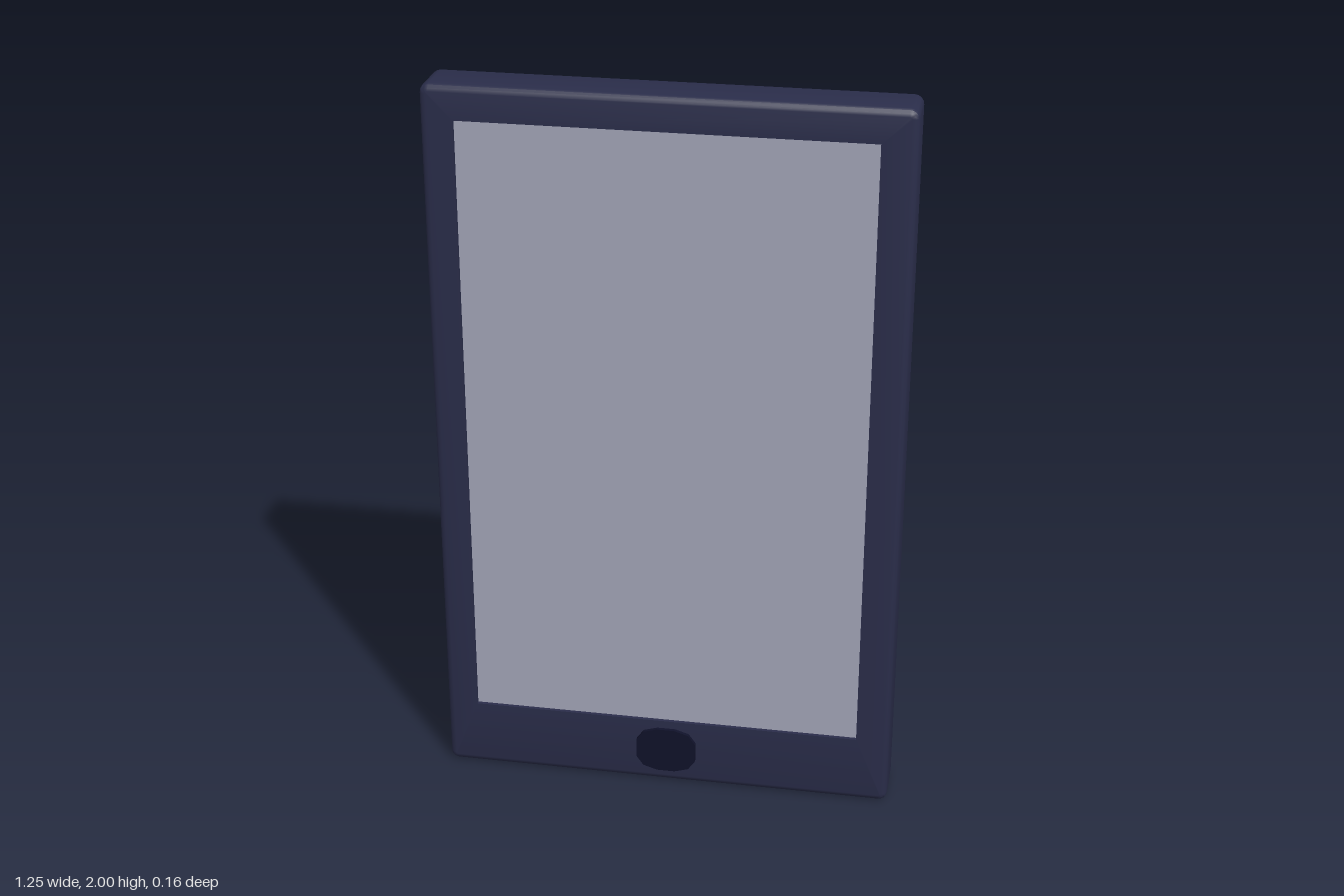
import * as THREE from 'three';
import { toCreasedNormals } from 'three/addons/utils/BufferGeometryUtils.js';

const CORNER_STEPS = 4;

// Counter-clockwise rounded rectangle; every ring has the same point count.
function ring(left, right, bottom, top, radius, z) {
  const corners = [
    [right - radius, top - radius], [left + radius, top - radius],
    [left + radius, bottom + radius], [right - radius, bottom + radius],
  ];
  const points = [];
  corners.forEach(([cx, cy], i) => {
    for (let s = 0; s <= CORNER_STEPS; s++) {
      const a = (i + s / CORNER_STEPS) * Math.PI / 2;
      points.push([cx + radius * Math.cos(a), cy + radius * Math.sin(a), z]);
    }
  });
  return points;
}

// Joins consecutive rings with quads and closes the first ring with a fan.
function loft(rings) {
  const n = rings[0].length;
  const index = [];
  for (let r = 0; r < rings.length - 1; r++) {
    for (let i = 0; i < n; i++) {
      const a = r * n + i, b = r * n + (i + 1) % n;
      index.push(a, b, b + n, a, b + n, a + n);
    }
  }
  for (let i = 1; i < n - 1; i++) index.push(0, i + 1, i);
  const geometry = new THREE.BufferGeometry();
  geometry.setAttribute('position', new THREE.Float32BufferAttribute(rings.flat(2), 3));
  geometry.setIndex(index);
  return toCreasedNormals(geometry, 0.6);
}

function addMesh(group, name, geometry, color) {
  const mesh = new THREE.Mesh(geometry, new THREE.MeshStandardMaterial({ color }));
  mesh.name = name;
  group.add(mesh);
  return mesh;
}

export function createModel() {
  const group = new THREE.Group();
  group.name = 'tablet';

  const back = -0.08, front = 0.07, screenZ = 0.06, bevel = 0.018;
  const hole = { left: -0.54, right: 0.535, bottom: 0.195, top: 1.91 };

  // Casing: rounded edges all round and a shallow recess for the screen
  const outer = (inset, z) => ring(-0.626 + inset, 0.626 - inset, inset, 2 - inset, 0.024 - inset, z);
  const inner = (z) => ring(hole.left, hole.right, hole.bottom, hole.top, 0, z);
  const rings = [];
  for (let i = 0; i <= 3; i++) {
    const a = i / 3 * Math.PI / 2;
    rings.push(outer(bevel * (1 - Math.sin(a)), back + bevel * (1 - Math.cos(a))));
  }
  for (let i = 0; i <= 3; i++) {
    const a = i / 3 * Math.PI / 2;
    rings.push(outer(bevel * (1 - Math.cos(a)), front - bevel * (1 - Math.sin(a))));
  }
  rings.push(inner(front), inner(screenZ));
  addMesh(group, 'casing', loft(rings), 0x2a2d4a);

  // Screen at the bottom of the recess
  const screen = addMesh(group, 'screen',
    new THREE.PlaneGeometry(hole.right - hole.left, hole.top - hole.bottom), 0xa3a5b8);
  screen.position.set((hole.left + hole.right) / 2, (hole.bottom + hole.top) / 2, screenZ);

  // Home button: a squashed twelve-sided disc
  const quarter = [[0.083, 0.028], [0.064, 0.055], [0.025, 0.067]];
  const mirrored = quarter.map(([x, y]) => [-x, y]).reverse();
  const upper = [...quarter, ...mirrored];
  const outline = [...upper, ...upper.map(([x, y]) => [-x, -y])];
  const shape = new THREE.Shape(outline.map(([x, y]) => new THREE.Vector2(x, y)));
  const button = addMesh(group, 'homeButton',
    new THREE.ExtrudeGeometry(shape, { depth: 0.02, bevelEnabled: false }), 0x10122a);
  button.position.set(0.003, 0.105, 0.06);

  return group;
}
